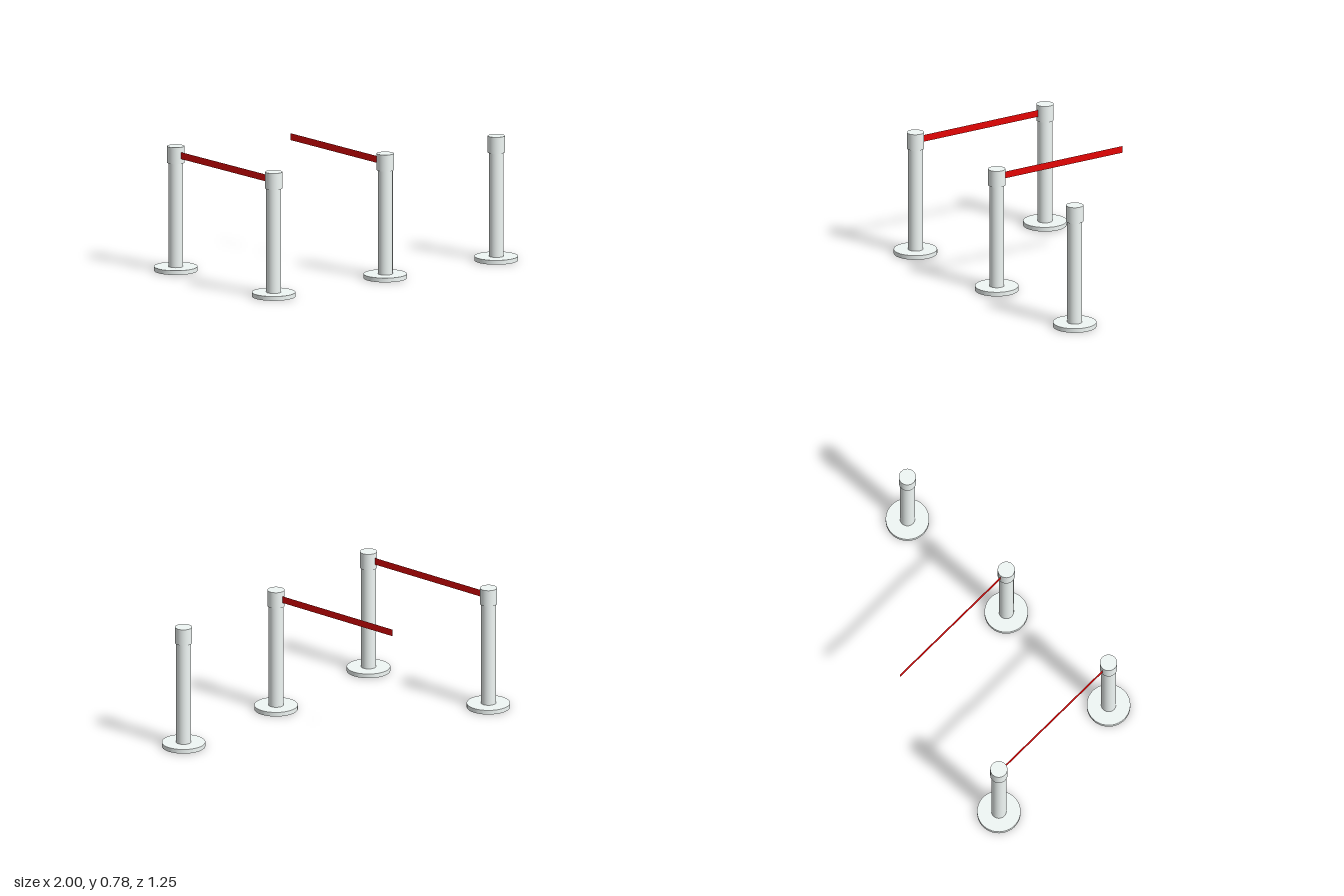
import * as THREE from 'three';

const paleMetal = new THREE.MeshStandardMaterial({ color: 0xf1f8f6 });
const red = new THREE.MeshStandardMaterial({ color: 0xe60505, side: THREE.DoubleSide });

// Upright cylinder spanning y0..y1
function drum(name, radius, y0, y1) {
  const geometry = new THREE.CylinderGeometry(radius, radius, y1 - y0, 40);
  geometry.translate(0, (y0 + y1) / 2, 0);
  const mesh = new THREE.Mesh(geometry, paleMetal);
  mesh.name = name;
  return mesh;
}

// Stanchion: floor disc, pole and belt head
function createStanchion(x, z) {
  const post = new THREE.Group();
  post.name = 'stanchion';
  post.add(
    drum('base', 0.134, 0, 0.027),
    drum('pole', 0.046, 0.027, 0.678),
    drum('head', 0.053, 0.678, 0.782),
  );
  post.position.set(x, 0, z);
  return post;
}

// Thin flat belt running along z
function createBelt(x, zFront, zBack) {
  const geometry = new THREE.PlaneGeometry(zFront - zBack, 0.043);
  geometry.rotateY(Math.PI / 2);
  const belt = new THREE.Mesh(geometry, red);
  belt.name = 'belt';
  belt.position.set(x, 0.73, (zFront + zBack) / 2);
  return belt;
}

export function createModel() {
  const model = new THREE.Group();
  model.name = 'queueBarrier';

  const posts = [[-0.866, -0.492], [-0.866, 0.477], [0.008, 0.477], [0.866, 0.491]];
  for (const [x, z] of posts) model.add(createStanchion(x, z));

  // One belt links the two right-hand posts, the other hangs free at its back end
  for (const x of [-0.866, 0.008]) model.add(createBelt(x, 0.426, -0.463));

  return model;
}
